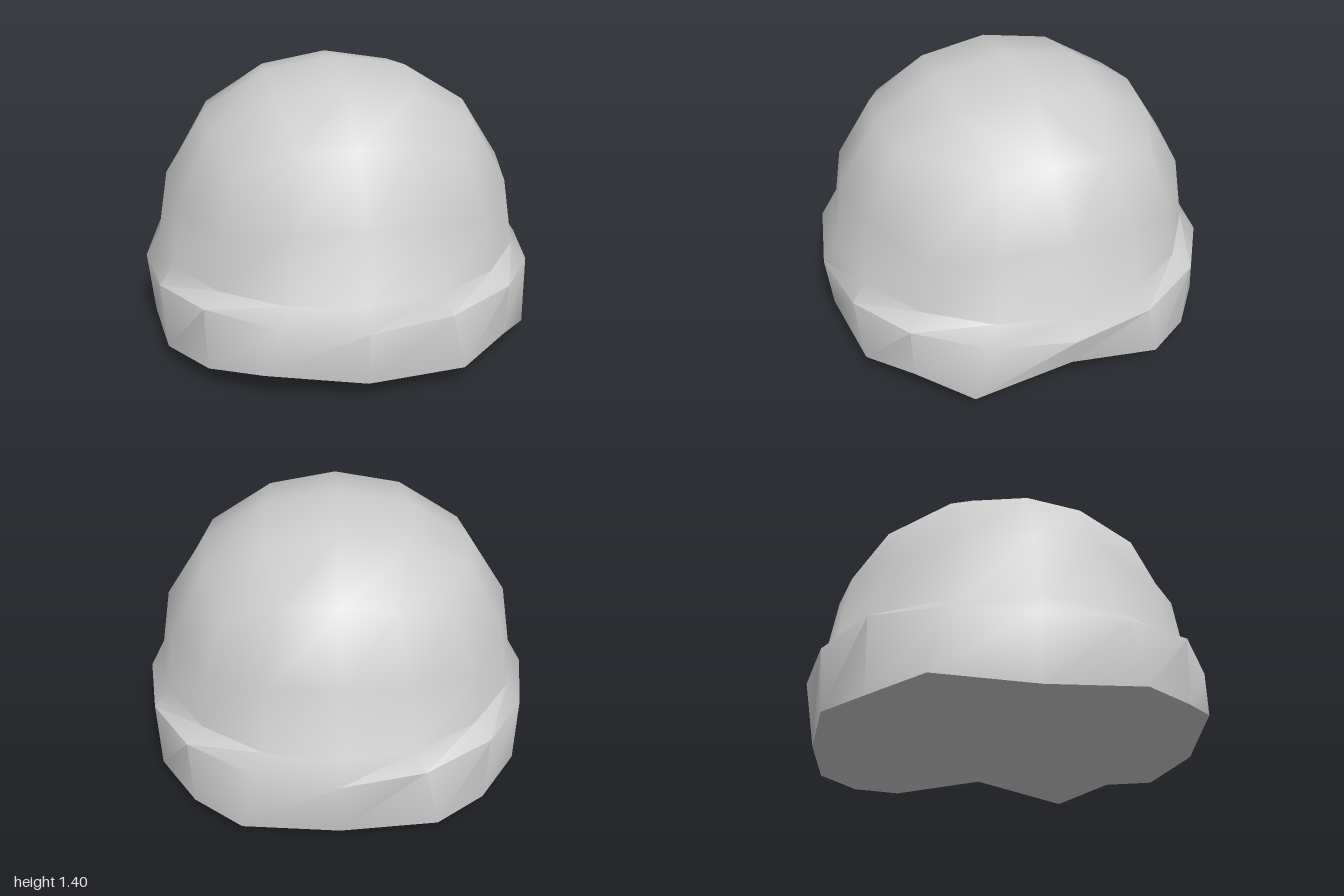
import * as THREE from 'three';
import { mergeVertices, toCreasedNormals } from 'three/addons/utils/BufferGeometryUtils.js';

// Heights of the uneven underside: rows run back to front, columns run -x to +x
const UNDERSIDE = [
  [0.045, 0.05, 0.045, 0.045, 0.05],
  [0.09, 0.07, 0.105, 0.07, 0.09],
  [0.045, 0, 0.045, 0.1, 0.195],
  [0.09, 0.07, 0.055, 0.07, 0.07],
  [0.095, 0.145, 0.095, 0.095, 0.145],
];

// Horizontal position on a ring; u, v are grid steps from -2 to 2
function ring(u, v, mid, quarter, corner) {
  const a = Math.abs(u), b = Math.abs(v), low = Math.min(a, b);
  const [far, near] = [[mid, 0], quarter, [corner, corner]][low];
  const swap = b > a;
  return [Math.sign(u) * (swap ? near : far), Math.sign(v) * (swap ? far : near)];
}

function place(i, j, k, p) {
  if (j === -2) {
    // underside and its wavy edge
    const y = UNDERSIDE[k + 2][i + 2];
    if (Math.max(Math.abs(i), Math.abs(k)) < 2) return p.set(i * 0.33, y, k * 0.33);
    const mid = i === 2 || k === -2 ? 0.945 : 0.97;
    const [x, z] = ring(i, k, mid, [0.905, 0.475], 0.72);
    return p.set(x, y, z);
  }
  if (j === -1) {
    // flared rim
    const [x, z] = ring(i, k, 1, [0.93, 0.4], 0.73);
    return p.set(x, [0.37, 0.39, 0.415][Math.min(Math.abs(i), Math.abs(k))], z);
  }
  // rounded dome
  const t = (n) => Math.tan(n * Math.PI / 8);
  p.set(t(i), t(j), t(k)).normalize();
  const bulge = 1 + 0.02 * (4 * p.y * p.y * (1 - p.y * p.y));
  p.multiplyScalar(0.932 * bulge);
  p.y += 0.467;
  return p;
}

export function createModel() {
  const group = new THREE.Group();
  group.name = 'domedCap';
  const grey = new THREE.MeshStandardMaterial({ color: 0xcccccc });
  grey.name = 'grey';

  // A gridded box whose points are moved onto dome, rim and underside
  let geometry = new THREE.BoxGeometry(4, 4, 4, 4, 4, 4);
  geometry.deleteAttribute('uv');
  geometry.deleteAttribute('normal');
  geometry.clearGroups();
  geometry = mergeVertices(geometry);
  const pos = geometry.attributes.position;
  const p = new THREE.Vector3();
  for (let n = 0; n < pos.count; n++) {
    place(Math.round(pos.getX(n)), Math.round(pos.getY(n)), Math.round(pos.getZ(n)), p);
    pos.setXYZ(n, p.x, p.y, p.z);
  }
  geometry = toCreasedNormals(geometry, 0.9);

  const cap = new THREE.Mesh(geometry, grey);
  cap.name = 'domeWithRim';
  group.add(cap);
  return group;
}
